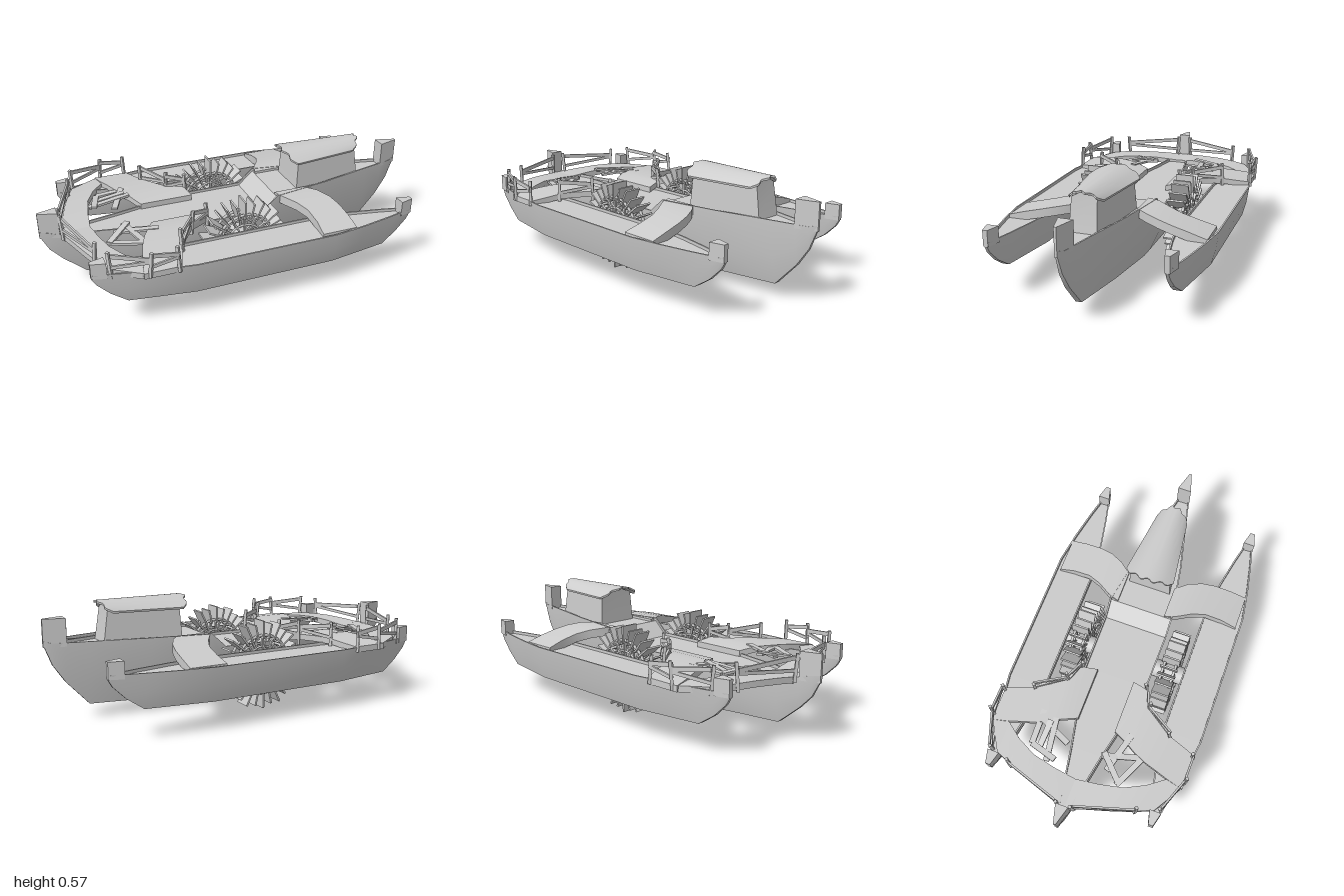
import * as THREE from 'three';
import { toCreasedNormals } from 'three/addons/utils/BufferGeometryUtils.js';

const material = new THREE.MeshStandardMaterial({ color: 0xcccccc });

function addMesh(parent, geometry, name) {
  const mesh = new THREE.Mesh(geometry, material);
  mesh.name = name;
  parent.add(mesh);
  return mesh;
}

// Skin a row of closed rings of [x, y, z]; the ends are zipped shut
function loft(rings) {
  const n = rings[0].length, last = rings.length - 1;
  const tris = [];
  const quad = (a, b, c, d) => tris.push([a, b, c], [a, c, d]);
  for (let r = 0; r < last; r++)
    for (let i = 0; i < n; i++) {
      const j = (i + 1) % n;
      quad(rings[r][i], rings[r][j], rings[r + 1][j], rings[r + 1][i]);
    }
  const A = rings[0], B = rings[last];
  for (let i = 0; i < n / 2 - 1; i++) {
    quad(A[n - 1 - i], A[n - 2 - i], A[i + 1], A[i]);
    quad(B[i], B[i + 1], B[n - 2 - i], B[n - 1 - i]);
  }
  // turn the skin outward if the signed volume is negative
  let volume = 0;
  for (const [a, b, c] of tris)
    volume += a[0] * (b[1] * c[2] - b[2] * c[1]) + a[1] * (b[2] * c[0] - b[0] * c[2]) + a[2] * (b[0] * c[1] - b[1] * c[0]);
  if (volume < 0) tris.forEach((t) => t.reverse());
  const g = new THREE.BufferGeometry();
  g.setAttribute('position', new THREE.Float32BufferAttribute(tris.flat(2), 3));
  return toCreasedNormals(g, 0.45);
}

// Hull from stations [x, rim half width, keel y, keel half width, rim y]
function hull(stations, cz, bulge) {
  return loft(stations.map(([x, w, yb, bw, top]) => {
    const t = Math.min(0.008, w * 0.4), deck = Math.max(top - 0.015, yb + 0.005);
    const half = [
      [w - t, deck], [w - t, top], [w, top],
      [bw + (w - bw) * bulge, yb + (top - yb) * 0.45], [bw, yb],
    ];
    const right = half.map(([z, y]) => [x, y, cz + z]);
    const left = half.map(([z, y]) => [x, y, cz - z]).reverse();
    return [...right, ...left];
  }));
}

// Upright post at a hull end, tapering toward the tip
function post(xIn, xTip, wIn, wTip, y0, y1, cz) {
  return loft([y0, y1].map((y) => [
    [xIn, y, cz - wIn], [xTip, y, cz - wTip], [xTip, y, cz + wTip], [xIn, y, cz + wIn],
  ]));
}

// Curved bridge from stations [z, x start, x end, top y]
function bridge(stations, side, thick) {
  return loft(stations.map(([z, x0, x1, y]) => [
    [x0, y, z * side], [x1, y, z * side], [x1, y - thick, z * side], [x0, y - thick, z * side],
  ]));
}

// Straight timber between two points
function beam(parent, a, b, w, h, name) {
  const p = new THREE.Vector3(...a), q = new THREE.Vector3(...b);
  const mesh = addMesh(parent, new THREE.BoxGeometry(w, h, p.distanceTo(q)), name);
  mesh.position.copy(p).add(q).multiplyScalar(0.5);
  mesh.lookAt(q);
}

function paddleWheel() {
  const wheel = new THREE.Group();
  wheel.name = 'paddleWheel';
  const axle = addMesh(wheel, new THREE.CylinderGeometry(0.048, 0.048, 0.19, 20), 'axle');
  axle.rotation.x = Math.PI / 2;
  for (const z of [-0.03, 0.03]) {
    addMesh(wheel, new THREE.TorusGeometry(0.15, 0.008, 6, 40), 'wheelRim').position.z = z;
    addMesh(wheel, new THREE.TorusGeometry(0.095, 0.006, 6, 32), 'innerRim').position.z = z;
  }
  const count = 28;
  for (let i = 0; i < count; i++) {
    const arm = new THREE.Group();
    arm.name = 'paddleArm';
    arm.rotation.z = (i / count) * Math.PI * 2 + Math.PI / 2;
    const r = i % 2 ? 0.212 : 0.225;
    addMesh(arm, new THREE.BoxGeometry(r - 0.135, 0.009, 0.092), 'paddle').position.x = (r + 0.135) / 2;
    if (i % 2 === 0)
      for (const z of [-0.03, 0.03])
        addMesh(arm, new THREE.BoxGeometry(0.11, 0.009, 0.012), 'spoke').position.set(0.09, 0, z);
    wheel.add(arm);
  }
  return wheel;
}

export function createModel() {
  const model = new THREE.Group();
  model.name = 'paddleBoat';

  // Central hull with raised foredeck and ramp
  addMesh(model, hull([
    [-1, 0.008, 0.31, 0.004, 0.335], [-0.96, 0.02, 0.23, 0.008, 0.33], [-0.9, 0.033, 0.165, 0.012, 0.315],
    [-0.79, 0.05, 0.07, 0.015, 0.315], [-0.6, 0.085, 0.07, 0.045, 0.315], [-0.42, 0.125, 0.07, 0.08, 0.315],
    [-0.18, 0.172, 0.07, 0.11, 0.315], [0.12, 0.175, 0.07, 0.11, 0.315], [0.2, 0.175, 0.07, 0.11, 0.388],
    [0.5, 0.125, 0.07, 0.07, 0.388], [0.79, 0.058, 0.07, 0.015, 0.388], [0.9, 0.034, 0.19, 0.012, 0.388],
    [0.96, 0.02, 0.28, 0.008, 0.388], [1, 0.006, 0.385, 0.004, 0.4],
  ], 0, 0.75), 'mainHull');
  addMesh(model, post(0.895, 1, 0.036, 0.006, 0.37, 0.505, 0), 'bowPost');
  addMesh(model, post(-0.905, -1, 0.033, 0.006, 0.3, 0.435, 0), 'sternPost');

  // Cabin with gabled ends
  addMesh(model, loft([[0.335, 0.345, 0.115, 0.105], [0.725, 0.7, 0.068, 0.062]].map(([xb, xt, wb, wt]) => [
    [xb, 0.37, wb], [xt, 0.532, wt], [xt, 0.566, 0], [xt, 0.532, -wt], [xb, 0.37, -wb],
  ])), 'cabin');

  // Arched roof, scalloped at both ends
  const roofRings = [];
  for (let i = 0; i <= 10; i++) {
    const u = i / 10, top = [], under = [];
    for (let k = 0; k <= 24; k++) {
      const v = k / 12 - 1, scallop = 0.008 * Math.cos(v * 12);
      const x = THREE.MathUtils.lerp(0.285 + 0.04 * v * v + scallop, 0.735 - 0.05 * v * v - scallop, u);
      const z = v * THREE.MathUtils.lerp(0.13, 0.085, u), y = 0.574 - 0.048 * v * v;
      top.push([x, y, z]);
      under.push([x, y - 0.01, z * 0.98]);
    }
    roofRings.push([...top, ...under.reverse()]);
  }
  addMesh(model, loft(roofRings), 'cabinRoof');

  // Railing runs of [x, z], mirrored to both sides
  const railRuns = [
    [[-0.89, 0.045], [-0.8, 0.33]],
    [[-0.75, 0.45], [-0.585, 0.512], [-0.445, 0.515]],
    [[-0.385, 0.37], [-0.29, 0.22], [-0.19, 0.18]],
  ];
  // Loose planks of [x, y, z, x, y, z], one set per side
  const planks = {
    1: [[-0.6, 0.34, 0.08, -0.54, 0.33, 0.28], [-0.7, 0.325, 0.21, -0.58, 0.35, 0.09],
      [-0.66, 0.33, 0.13, -0.45, 0.345, 0.19], [-0.71, 0.32, 0.2, -0.52, 0.335, 0.29]],
    '-1': [[-0.66, 0.33, -0.27, -0.48, 0.34, -0.275], [-0.72, 0.325, -0.17, -0.5, 0.345, -0.2],
      [-0.52, 0.345, -0.28, -0.6, 0.33, -0.1], [-0.68, 0.32, -0.23, -0.52, 0.35, -0.22],
      [-0.66, 0.33, -0.27, -0.7, 0.34, -0.13]],
  };

  for (const s of [1, -1]) {
    const side = new THREE.Group();
    side.name = s > 0 ? 'frontSide' : 'backSide';
    model.add(side);

    // Outrigger hull and its posts
    const cz = 0.427 * s, top = 0.315;
    const end = [[0.84, 0.012, 0.295, 0.006], [0.82, 0.018, 0.26, 0.008], [0.76, 0.03, 0.2, 0.012], [0.68, 0.049, 0.145, 0.02],
      [0.52, 0.08, 0.145, 0.045], [0.36, 0.103, 0.145, 0.07]];
    const aft = end.map(([x, ...rest]) => [-x, ...rest]).reverse();
    addMesh(side, hull([...end, ...aft].map((st) => [...st, top]), cz, 0.6), 'outriggerHull');
    for (const e of [1, -1])
      addMesh(side, post(0.77 * e, 0.84 * e, 0.03, 0.012, 0.295, 0.375, cz), e > 0 ? 'outriggerBowPost' : 'outriggerSternPost');

    // Bridges joining the hulls
    addMesh(side, bridge([
      [0.13, 0.2, 0.37, 0.386], [0.19, 0.22, 0.42, 0.386], [0.26, 0.265, 0.455, 0.377],
      [0.33, 0.295, 0.472, 0.363], [0.42, 0.302, 0.48, 0.342], [0.505, 0.295, 0.482, 0.318],
    ], s, 0.045), 'foreBridge');
    addMesh(side, bridge([
      [0.1, -0.46, -0.18, 0.33], [0.18, -0.5, -0.2, 0.345], [0.23, -0.53, -0.295, 0.346],
      [0.3, -0.56, -0.345, 0.344], [0.37, -0.58, -0.388, 0.338], [0.44, -0.6, -0.41, 0.328], [0.515, -0.615, -0.435, 0.318],
    ], s, 0.03), 'aftBridge');
    addMesh(side, bridge([
      [0.0, -0.9, -0.75, 0.312], [0.12, -0.865, -0.735, 0.322], [0.24, -0.83, -0.71, 0.328],
      [0.34, -0.795, -0.66, 0.328], [0.42, -0.76, -0.6, 0.322], [0.505, -0.62, -0.56, 0.317],
    ], s, 0.03), 'sternBridge');

    // Railings with sloping, weathered rails
    for (const run of railRuns) {
      run.forEach(([x, z], i) => {
        const lean = i % 2 ? 0.008 : -0.008;
        beam(side, [x, 0.29, z * s], [x + lean, 0.423, (z + lean) * s], 0.015, 0.015, 'railPost');
        if (!i) return;
        const [px, pz] = run[i - 1];
        beam(side, [px, 0.405, pz * s], [x, 0.385, z * s], 0.01, 0.02, 'upperRail');
        beam(side, [px, 0.345, pz * s], [x, 0.372, z * s], 0.01, 0.016, 'lowerRail');
      });
    }

    // Fallen planks over the open stern bays
    for (const p of planks[s]) beam(side, p.slice(0, 3), p.slice(3), 0.03, 0.012, 'loosePlank');

    const wheel = paddleWheel();
    wheel.position.set(-0.03, 0.225, 0.25 * s);
    side.add(wheel);
  }
  return model;
}
